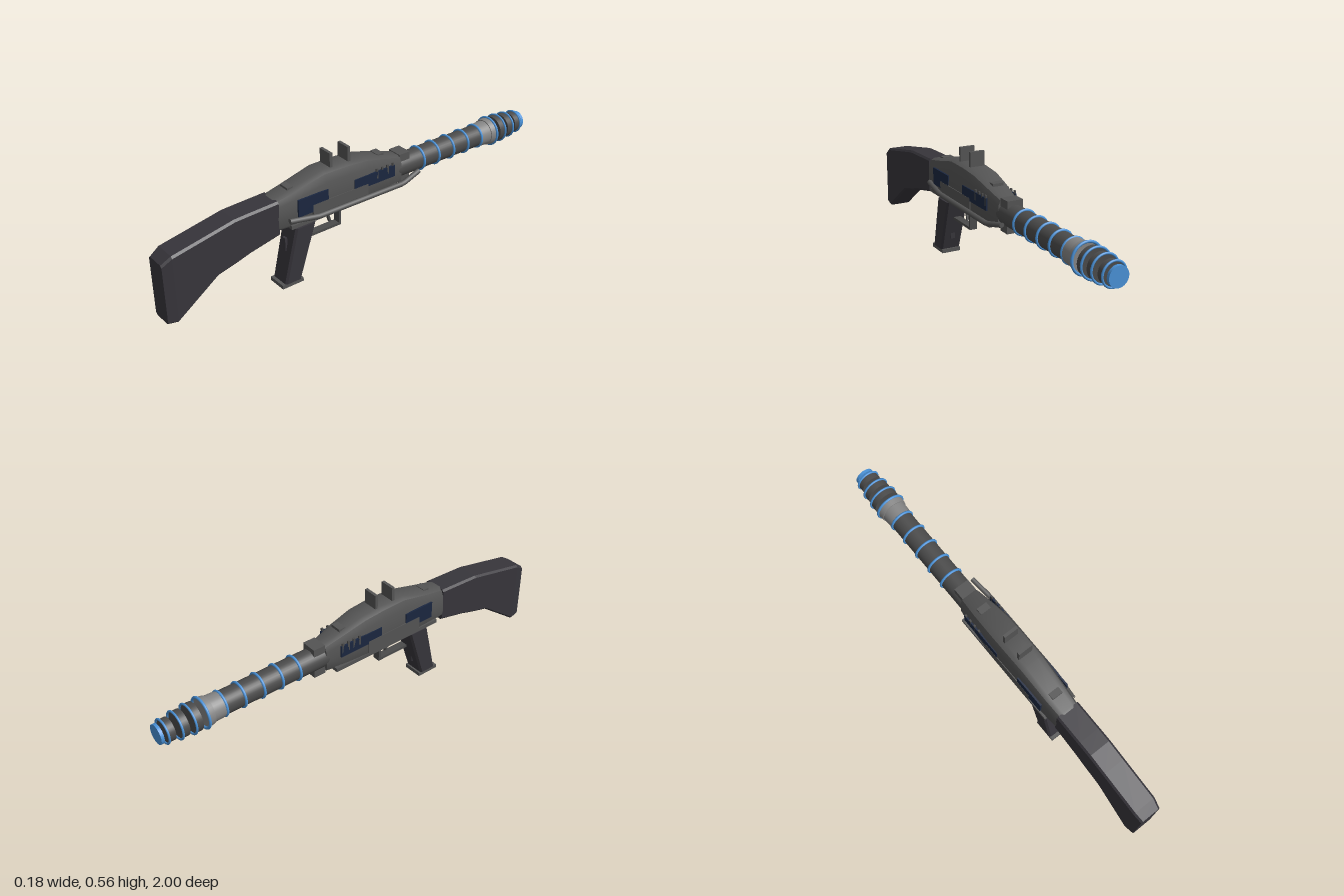
import * as THREE from 'three';
import { toCreasedNormals } from 'three/addons/utils/BufferGeometryUtils.js';

const mat = (name, color) => {
  const m = new THREE.MeshStandardMaterial({ color });
  m.name = name;
  return m;
};

// Skin a list of cross-section rings (counter-clockwise, ordered from +z to -z)
function loft(rings, crease) {
  const pos = [];
  const tri = (...pts) => pts.forEach(p => pos.push(...p));
  const n = rings[0].length;
  for (let i = 0; i < rings.length - 1; i++) {
    for (let j = 0; j < n; j++) {
      const k = (j + 1) % n;
      const a = rings[i][j], b = rings[i][k], c = rings[i + 1][j], d = rings[i + 1][k];
      tri(a, c, b);
      tri(b, c, d);
    }
  }
  const first = rings[0], last = rings[rings.length - 1];
  for (let j = 1; j < n - 1; j++) {
    tri(first[0], first[j], first[j + 1]);
    tri(last[0], last[j + 1], last[j]);
  }
  const g = new THREE.BufferGeometry();
  g.setAttribute('position', new THREE.Float32BufferAttribute(pos, 3));
  return toCreasedNormals(g, crease);
}

export function createModel() {
  const root = new THREE.Group();
  root.name = 'toyBlaster';
  const model = new THREE.Group();
  model.name = 'blaster';
  model.position.x = -0.012;
  root.add(model);

  const grey = mat('body grey', 0x545454);
  const dark = mat('stock charcoal', 0x37353b);
  const steel = mat('barrel grey', 0x4b4b4b);
  const light = mat('light grey', 0x858585);
  const navy = mat('navy', 0x1b2740);
  const blue = mat('blue', 0x4a92d8);

  const add = (name, geo, m, x = 0, y = 0, z = 0) => {
    const mesh = new THREE.Mesh(geo, m);
    mesh.name = name;
    mesh.position.set(x, y, z);
    model.add(mesh);
    return mesh;
  };
  // Box given by its ranges in y and z
  const block = (name, m, w, y0, y1, z0, z1, x = 0) =>
    add(name, new THREE.BoxGeometry(w, y1 - y0, z1 - z0), m, x, (y0 + y1) / 2, (z0 + z1) / 2);

  // Receiver: rounded shoulders over straight sides
  // z, half width, top, bottom
  const bodyRings = [
    [0.475, 0.054, 0.44, 0.315], [0.46, 0.058, 0.445, 0.305], [0.38, 0.064, 0.462, 0.303],
    [0.225, 0.071, 0.5, 0.303], [0.1, 0.073, 0.499, 0.303], [0, 0.072, 0.49, 0.303],
    [-0.1, 0.064, 0.463, 0.303], [-0.205, 0.05, 0.43, 0.307],
  ].map(([z, w, t, b]) => {
    const h = t - b;
    const right = [[0.9, 0], [1, 0.07], [1, 0.42], [0.95, 0.77], [0.77, 0.945], [0.45, 1]];
    const pts = right.map(([u, v]) => [u * w, b + v * h, z]);
    return [...pts, ...pts.map(p => [-p[0], p[1], z]).reverse()];
  });
  add('receiver', loft(bodyRings, 0.6), grey);
  block('receiverLedge', grey, 0.146, 0.297, 0.314, -0.17, 0.41);

  // Stock: bevelled box that drops toward the butt
  const stockRings = [
    [1, 0.05, 0.35, 0.072], [0.955, 0.057, 0.378, 0.067], [0.76, 0.057, 0.416, 0.207],
    [0.668, 0.057, 0.434, 0.23], [0.6, 0.057, 0.437, 0.25], [0.46, 0.057, 0.442, 0.28],
  ].map(([z, w, t, b]) => {
    const c = 0.009;
    return [[w - c, b, z], [w, b + c, z], [w, t - c, z], [w - c, t, z],
      [-w + c, t, z], [-w, t - c, z], [-w, b + c, z], [-w + c, b, z]];
  });
  add('stock', loft(stockRings, 0.1), dark);

  // Side panels and cooling fins, mirrored
  for (const s of [-1, 1]) {
    block('rearSidePanel', navy, 0.008, 0.345, 0.425, 0.22, 0.375, s * 0.071);
    block('frontSidePanel', navy, 0.008, 0.365, 0.42, -0.145, 0.08, s * 0.071);
    block('middleSidePanel', grey, 0.008, 0.317, 0.378, 0.005, 0.3, s * 0.0715);
    for (let i = 0; i < 4; i++) {
      const z = -0.045 - i * 0.03;
      block('coolingFin', steel, 0.008, 0.385, 0.433, z - 0.005, z + 0.005, s * 0.071);
    }
  }

  // Raised details on top
  for (const z of [0.175, 0.08]) block('sightPlate', grey, 0.07, 0.485, 0.565, z - 0.007, z + 0.007);
  block('rearTopTab', grey, 0.052, 0.45, 0.469, 0.365, 0.395);
  block('frontTopTab', grey, 0.052, 0.445, 0.47, -0.118, -0.085);

  // Charging rail along one side
  const railPath = new THREE.CurvePath();
  const railPts = [[0.074, 0.342, 0.42], [0.09, 0.325, 0.28], [0.091, 0.322, -0.18], [0.076, 0.345, -0.285]]
    .map(p => new THREE.Vector3(...p));
  for (let i = 0; i < 3; i++) railPath.add(new THREE.LineCurve3(railPts[i], railPts[i + 1]));
  add('sideRail', new THREE.TubeGeometry(railPath, 36, 0.012, 8), grey);
  for (const [i, r] of [[0, Math.PI], [3, 0]]) {
    const cap = add('railEnd', new THREE.CircleGeometry(0.012, 8), grey, ...railPts[i]);
    cap.rotation.y = i ? Math.PI : 0;
  }

  // Barrel along -z
  const AXIS = 0.362;
  const tube = (name, m, r0, r1, z0, z1) => {
    const g = new THREE.CylinderGeometry(r1, r0, z0 - z1, 32).rotateX(-Math.PI / 2);
    return add(name, g, m, 0, AXIS, (z0 + z1) / 2);
  };
  const ring = (r, z, t = 0.006) => add('glowRing', new THREE.TorusGeometry(r, t, 8, 32), blue, 0, AXIS, z);
  tube('barrel', steel, 0.052, 0.052, -0.18, -0.72);
  for (const z of [-0.342, -0.433, -0.525, -0.617, -0.706]) ring(0.054, z);
  tube('muzzleSleeve', light, 0.056, 0.058, -0.712, -0.765);
  tube('muzzleCollar', light, 0.062, 0.066, -0.765, -0.792);
  ring(0.067, -0.796);

  // Free-standing muzzle discs, each with a ring at its front
  [[-0.823, -0.853, 0.063], [-0.88, -0.911, 0.058], [-0.938, -0.968, 0.05]].forEach(([z0, z1, r]) => {
    tube('muzzleDisc', steel, r, r, z0, z1);
    ring(r + 0.002, z1 - 0.002, 0.005);
  });
  tube('muzzleTip', blue, 0.044, 0.044, -0.986, -1);

  // Barrel clamp
  block('upperClamp', grey, 0.074, 0.39, 0.435, -0.262, -0.203);
  block('lowerClamp', grey, 0.074, 0.29, 0.33, -0.262, -0.203);

  // Slanted grip with a base plate
  const gripShape = (z0, z1, y, c, w) => [
    [w - c, y, z0], [w, y, z0 - c], [w, y, z1 + c], [w - c, y, z1],
    [-w + c, y, z1], [-w, y, z1 + c], [-w, y, z0 - c], [-w + c, y, z0]];
  const gripRings = [gripShape(0.375, 0.27, 0.276, 0.009, 0.054), gripShape(0.437, 0.352, 0.018, 0.009, 0.05)];
  add('grip', loft(gripRings, 0.1), dark);
  block('gripBase', grey, 0.094, 0, 0.018, 0.343, 0.452);
  block('gripFrontStrip', dark, 0.02, 0.075, 0.16, 0.325, 0.333);
  block('gripBackStrip', dark, 0.02, 0.16, 0.222, 0.395, 0.406);

  // Trigger and guard
  block('triggerGuardBottom', steel, 0.036, 0.187, 0.199, 0.113, 0.28);
  block('triggerGuardFront', steel, 0.036, 0.187, 0.276, 0.113, 0.125);
  const trigger = block('trigger', steel, 0.016, 0.214, 0.276, 0.167, 0.177);
  trigger.rotation.x = 0.28;

  return root;
}
